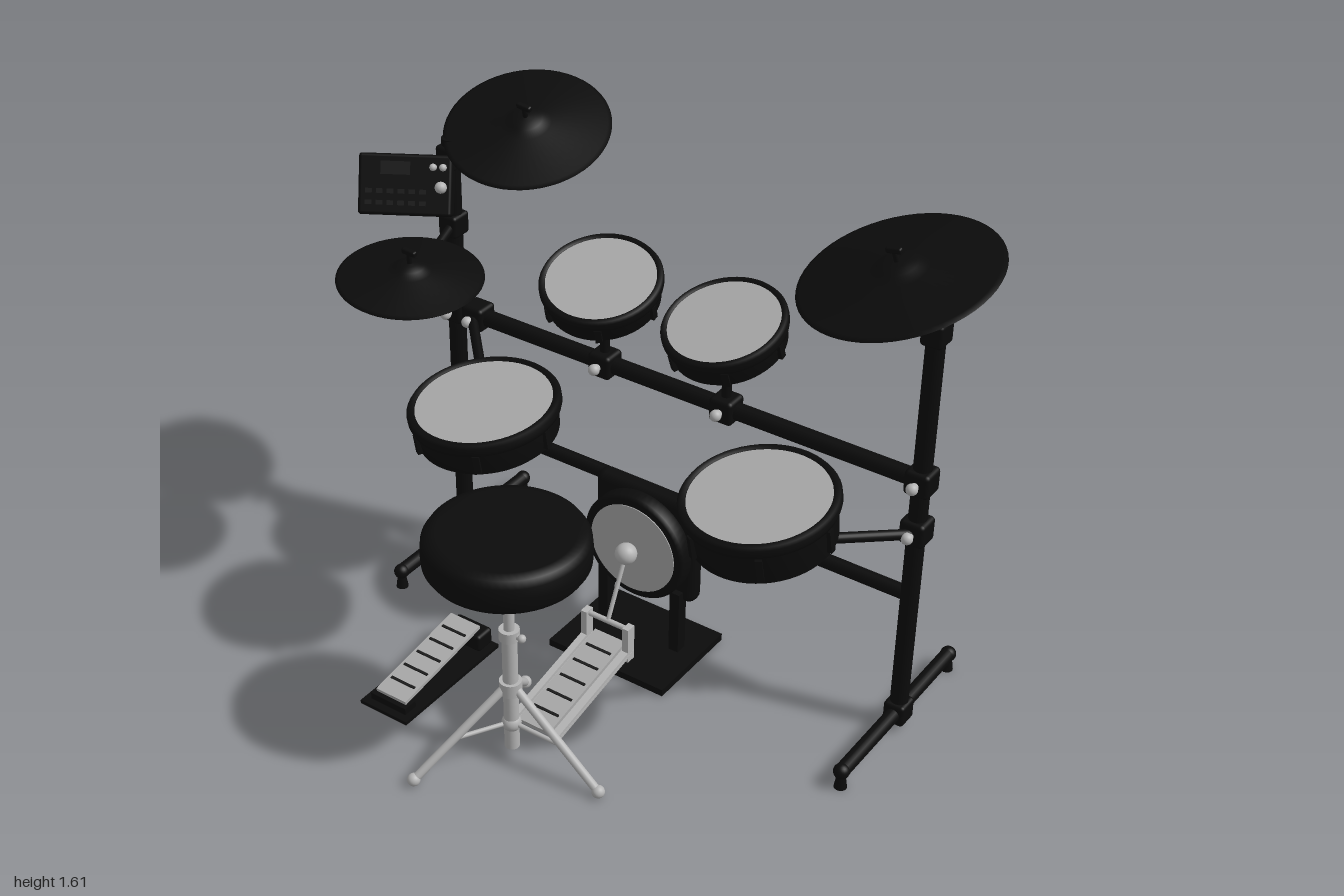
import * as THREE from 'three';
import { RoundedBoxGeometry } from 'three/addons/geometries/RoundedBoxGeometry.js';

const V = (x, y, z) => new THREE.Vector3(x, y, z);
const UP = V(0, 1, 0);
const paint = (name, color) => Object.assign(new THREE.MeshStandardMaterial({ color }), { name });

export function createModel() {
  const black = paint('black', 0x0b0b0b);
  const dark = paint('darkGrey', 0x1a1a1a);
  const skin = paint('drumSkin', 0xa8a8a8);
  const chrome = paint('chrome', 0xb4b4b4);

  const model = new THREE.Group();
  model.name = 'electronicDrumKit';

  // Helpers
  function add(name, geo, mat, x = 0, y = 0, z = 0, parent = model) {
    const m = new THREE.Mesh(geo, mat);
    m.name = name;
    m.position.set(x, y, z);
    parent.add(m);
    return m;
  }
  function group(name, x, y, z, normal = UP) {
    const g = new THREE.Group();
    g.name = name;
    g.position.set(x, y, z);
    g.quaternion.setFromUnitVectors(UP, normal.clone().normalize());
    model.add(g);
    return g;
  }
  function rod(name, a, b, r, mat = black, parent = model) {
    const d = b.clone().sub(a);
    const m = add(name, new THREE.CylinderGeometry(r, r, d.length(), 20), mat, 0, 0, 0, parent);
    m.position.copy(a).lerp(b, 0.5);
    m.quaternion.setFromUnitVectors(UP, d.normalize());
    return m;
  }
  const box = (name, w, h, d, mat, x, y, z, parent) => add(name, new THREE.BoxGeometry(w, h, d), mat, x, y, z, parent);
  const ball = (name, r, mat, x, y, z, parent) => add(name, new THREE.SphereGeometry(r, 20, 14), mat, x, y, z, parent);
  const lathe = (pts, seg = 56) => new THREE.LatheGeometry(pts.map(p => new THREE.Vector2(p[0], p[1])), seg);
  const soft = (name, w, h, d, r, mat, x, y, z, parent) => add(name, new RoundedBoxGeometry(w, h, d, 3, r), mat, x, y, z, parent);

  // Rack: posts, cross bars, floor tubes
  const L = -0.76, R = 0.9, Z = -0.33;
  rod('leftPost', V(L, 0.03, Z), V(L, 1.49, Z), 0.028);
  rod('rightPost', V(R, 0.03, Z), V(R, 1.42, Z), 0.028);
  rod('upperBar', V(L, 0.9, Z), V(R, 0.9, Z), 0.027);
  rod('lowerBar', V(L, 0.495, Z), V(R, 0.495, Z), 0.023);
  for (const x of [L, R]) {
    rod('floorTube', V(x, 0.06, 0.01), V(x, 0.06, -0.65), 0.023);
    soft('floorClamp', 0.07, 0.075, 0.075, 0.012, black, x, 0.06, Z);
    for (const z of [0.01, -0.65]) {
      ball('tubeCap', 0.025, black, x, 0.06, z);
      add('rubberFoot', new THREE.CylinderGeometry(0.014, 0.02, 0.04, 18), black, x, 0.02, z);
    }
  }
  // Rack clamps with chrome bolts
  for (const [x, y] of [[L, 0.9], [-0.675, 0.9], [-0.187, 0.9], [0.25, 0.9], [R, 0.9], [R, 0.73]]) {
    soft('clamp', 0.08, 0.08, 0.08, 0.014, black, x, y, Z);
    rod('clampBolt', V(x, y, -0.295), V(x, y, -0.275), 0.012, chrome);
    ball('boltKnob', 0.018, chrome, x, y, -0.272);
  }
  for (const [x, y] of [[L, 1.2], [L, 1.43], [R, 1.385]])
    soft('mountClamp', 0.068, 0.075, 0.075, 0.012, black, x, y, Z);

  // Drum pads
  function drum(name, x, y, z, r, h, n) {
    const g = group(name, x, y, z, n), t = h / 2;
    add('shell', lathe([[0, -t], [r * 0.86, -t], [r * 0.92, -t + 0.012], [r * 0.95, t - 0.035]]), black, 0, 0, 0, g);
    add('hoop', lathe([[r * 0.94, t - 0.04], [r * 0.985, t - 0.036], [r, t - 0.025], [r, t - 0.008],
      [r * 0.975, t], [r * 0.9, t], [r * 0.88, t - 0.012]]), black, 0, 0, 0, g);
    const head = add('drumHead', new THREE.CircleGeometry(r * 0.9, 56), skin, 0, t - 0.004, 0, g);
    head.rotation.x = -Math.PI / 2;
    for (let i = 0; i < 6; i++) {
      const a = (i + 0.5) * Math.PI / 3;
      const lug = box('lug', 0.02, h * 0.5, 0.016, black, Math.sin(a) * r * 0.955, -0.008, Math.cos(a) * r * 0.955, g);
      lug.rotation.y = a;
    }
    ball('mountBall', 0.028, black, 0, -t - 0.015, 0, g);
  }
  drum('leftRackTom', -0.182, 1.165, -0.31, 0.187, 0.1, V(0.07, 1, 0.31));
  drum('rightRackTom', 0.255, 1.165, -0.31, 0.187, 0.1, V(-0.07, 1, 0.31));
  drum('snare', -0.285, 0.907, 0.13, 0.228, 0.12, V(-0.07, 1, 0.11));
  drum('floorTom', 0.607, 0.875, 0.045, 0.228, 0.15, V(-0.07, 1, 0.14));
  for (const x of [-0.187, 0.25]) {
    rod('tomStem', V(x, 0.92, Z), V(x, 1.09, Z), 0.015);
    rod('tomCollar', V(x, 1.02, Z), V(x, 1.05, Z), 0.024);
  }
  rod('snareArm', V(-0.675, 0.9, -0.3), V(-0.28, 0.82, 0.11), 0.016);
  rod('snarePivot', V(-0.28, 0.78, 0.12), V(-0.28, 0.86, 0.12), 0.022);
  rod('floorTomArm', V(R, 0.73, -0.3), V(0.615, 0.78, 0.03), 0.016);
  rod('floorTomPivot', V(0.615, 0.735, 0.03), V(0.615, 0.81, 0.03), 0.022);

  // Cymbals
  function cymbal(name, x, y, z, r, n) {
    const g = group(name, x, y, z, n);
    add('plate', lathe([[0, 0.0], [r * 0.3, -0.004], [r * 0.97, -0.014], [r, -0.008], [r * 0.95, -0.001],
      [r * 0.3, 0.018], [r * 0.2, 0.034], [r * 0.1, 0.042], [0, 0.044]]), black, 0, 0, 0, g);
    rod('spindle', V(0, -0.05, 0), V(0, 0.085, 0), 0.008, black, g);
    ball('underCup', 0.032, black, 0, -0.015, 0, g);
    soft('wingNut', 0.05, 0.018, 0.018, 0.006, black, 0, 0.08, 0, g);
  }
  cymbal('crashCymbal', -0.575, 1.522, -0.47, 0.257, V(0.12, 1, 0.33));
  cymbal('rideCymbal', 0.707, 1.435, -0.468, 0.297, V(-0.2, 1, 0.23));
  cymbal('hiHat', -0.66, 1.2, 0.003, 0.222, V(0.055, 1, 0.05));
  rod('crashArm', V(L, 1.42, Z), V(-0.585, 1.48, -0.485), 0.014);
  rod('rideArm', V(R, 1.39, Z), V(0.715, 1.39, -0.48), 0.014);
  rod('hiHatArm', V(L, 1.2, Z), V(-0.665, 1.165, 0), 0.014);
  ball('hiHatPivot', 0.028, black, -0.662, 1.172, 0);

  // Sound module, turned and tipped toward the player
  const mod = group('soundModule', -0.835, 1.36, -0.205);
  mod.rotation.set(-0.47, 0.54, 0, 'YXZ');
  soft('case', 0.285, 0.185, 0.07, 0.01, black, 0, 0, 0, mod);
  box('screen', 0.09, 0.04, 0.006, dark, -0.03, 0.05, 0.035, mod);
  for (let i = 0; i < 6; i++)
    for (const y of [-0.02, -0.055]) box('button', 0.02, 0.014, 0.008, dark, -0.11 + i * 0.033, y, 0.036, mod);
  for (const [x, y, r] of [[0.085, 0.055, 0.011], [0.115, 0.055, 0.011], [0.11, -0.005, 0.018]]) {
    rod('dial', V(x, y, 0.033), V(x, y, 0.045), r, chrome, mod);
    ball('dialCap', r, chrome, x, y, 0.045, mod);
  }
  rod('moduleBracket', V(L, 1.38, Z), V(-0.82, 1.36, -0.23), 0.018);

  // Kick pad tower
  const kx = 0.035;
  soft('kickBack', 0.37, 0.37, 0.068, 0.03, black, kx, 0.39, -0.256);
  const kick = group('kickPad', kx, 0.39, -0.195, V(0, 0, 1));
  add('kickShell', lathe([[0, -0.03], [0.17, -0.03], [0.183, -0.02], [0.183, 0.02], [0.172, 0.03], [0, 0.03]]), black, 0, 0, 0, kick);
  add('kickHead', new THREE.CylinderGeometry(0.153, 0.153, 0.006, 56), skin, 0, 0.03, 0, kick);
  for (const s of [-1, 1]) box('kickLeg', 0.035, 0.24, 0.04, black, kx + s * 0.135, 0.13, -0.22);
  box('kickBase', 0.43, 0.024, 0.34, black, kx, 0.014, -0.19);

  // Ribbed sloping footboard, shared by both pedals
  function footboard(name, x, z0, y0, z1, y1, w) {
    const g = group(name, x, (y0 + y1) / 2, (z0 + z1) / 2);
    const len = Math.hypot(z0 - z1, y1 - y0);
    g.rotation.x = Math.atan2(y1 - y0, z0 - z1);
    box('board', w, 0.012, len, skin, 0, 0, 0, g);
    for (let i = -2; i <= 2; i++) box('grip', w * 0.8, 0.006, 0.008, dark, 0, 0.007, i * len * 0.17, g);
    return g;
  }
  // Kick pedal and beater
  const kp = footboard('kickPedal', kx, 0.35, 0.033, -0.05, 0.118, 0.115);
  box('pedalTray', 0.18, 0.008, 0.4, chrome, 0, -0.012, 0, kp);
  for (const s of [-1, 1]) {
    box('pedalRail', 0.022, 0.016, 0.4, chrome, s * 0.078, -0.004, 0, kp);
    box('pedalPost', 0.022, 0.125, 0.034, chrome, kx + s * 0.078, 0.14, -0.033);
  }
  rod('pedalAxle', V(kx - 0.08, 0.19, -0.035), V(kx + 0.08, 0.19, -0.035), 0.009, chrome);
  rod('beaterRod', V(kx, 0.19, -0.035), V(kx, 0.38, -0.125), 0.007, chrome);
  ball('beater', 0.035, chrome, kx, 0.39, -0.13);

  // Hi-hat pedal
  const hx = -0.397;
  box('hiHatPedalBase', 0.18, 0.012, 0.46, black, hx, 0.006, 0.31);
  footboard('hiHatPedal', hx, 0.5, 0.042, 0.13, 0.098, 0.115);
  box('hiHatPedalHeel', 0.135, 0.03, 0.05, black, hx, 0.02, 0.49);
  soft('hiHatPedalBlock', 0.135, 0.06, 0.07, 0.012, black, hx, 0.04, 0.115);
  rod('hiHatPedalHinge', V(hx, 0.06, 0.13), V(hx, 0.092, 0.14), 0.02);

  // Throne: cushion, telescopic pole and tripod
  const tx = 0.035, tz = 0.457;
  add('seat', lathe([[0, 0.705], [0.2, 0.705], [0.228, 0.712], [0.241, 0.732], [0.243, 0.768], [0.24, 0.802],
    [0.227, 0.822], [0.2, 0.83], [0, 0.83]], 64), black, tx, 0, tz);
  rod('seatPole', V(tx, 0.4, tz), V(tx, 0.66, tz), 0.016, chrome);
  rod('lowerPole', V(tx, 0.04, tz), V(tx, 0.45, tz), 0.023, chrome);
  rod('heightCollar', V(tx, 0.445, tz), V(tx, 0.48, tz), 0.031, chrome);
  rod('heightBolt', V(tx, 0.463, tz), V(tx + 0.045, 0.463, tz), 0.008, chrome);
  ball('heightKnob', 0.013, chrome, tx + 0.045, 0.463, tz);
  rod('tripodHub', V(tx, 0.245, tz), V(tx, 0.29, tz), 0.034, chrome);
  ball('braceHub', 0.03, chrome, tx, 0.13, tz);
  for (let i = 0; i < 3; i++) {
    const a = i * Math.PI * 2 / 3;
    const at = (r, y) => V(tx + Math.cos(a) * r, y, tz + Math.sin(a) * r);
    rod('tripodLeg', at(0.025, 0.262), at(0.31, 0.022), 0.013, chrome);
    rod('legBrace', at(0.01, 0.13), at(0.18, 0.13), 0.007, chrome);
    const f = at(0.313, 0.02);
    ball('tripodFoot', 0.02, chrome, f.x, f.y, f.z);
  }
  return model;
}
